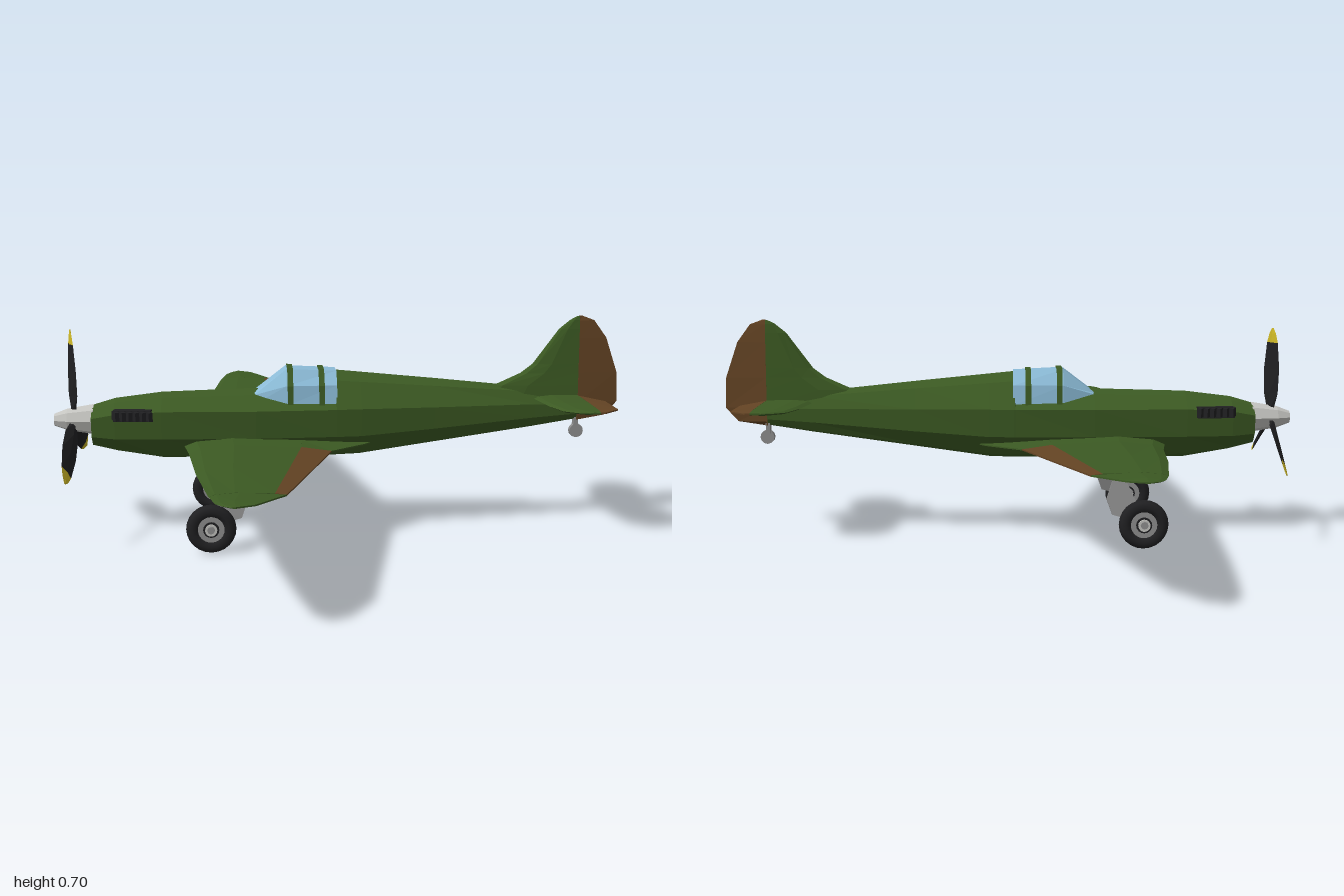
import * as THREE from 'three';

const paint = (name, color) => {
  const m = new THREE.MeshStandardMaterial({ color });
  m.name = name;
  return m;
};

// Closed faceted solid through a list of equal-length rings of [x, y, z].
function loft(rings) {
  const tris = [];
  const n = rings[0].length;
  for (let i = 0; i < rings.length - 1; i++) {
    for (let j = 0; j < n; j++) {
      const k = (j + 1) % n, a = rings[i], b = rings[i + 1];
      tris.push([a[j], a[k], b[k]], [a[j], b[k], b[j]]);
    }
  }
  const cap = (ring, flip) => {
    const c = [0, 1, 2].map(d => ring.reduce((s, p) => s + p[d], 0) / n);
    for (let j = 0; j < n; j++) {
      const p = ring[j], q = ring[(j + 1) % n];
      tris.push(flip ? [c, q, p] : [c, p, q]);
    }
  };
  cap(rings[0], true);
  cap(rings[rings.length - 1], false);
  // Turn the faces outward whichever way the rings run
  const volume = tris.reduce((s, [a, b, c]) => s
    + a[0] * (b[1] * c[2] - b[2] * c[1])
    + a[1] * (b[2] * c[0] - b[0] * c[2])
    + a[2] * (b[0] * c[1] - b[1] * c[0]), 0);
  if (volume < 0) tris.forEach(t => t.reverse());
  const g = new THREE.BufferGeometry();
  g.setAttribute('position', new THREE.Float32BufferAttribute(tris.flat(2), 3));
  g.computeVertexNormals();
  return g;
}

// Aerofoil section from lead to hinge; h is half thickness, e the half thickness at the hinge.
const foil = (lead, hinge, h, e, put) => {
  const c = hinge - lead;
  return [[0, 0], [0.1, 0.6 * h], [0.4, h], [1, e], [1, -e], [0.4, -h], [0.1, -0.6 * h]]
    .map(([f, o]) => put(lead + f * c, o));
};
// Control surface section, a wedge from hinge to trailing edge.
const wedge = (hinge, trail, e, put) => [put(hinge, e), put(trail, 0.002), put(trail, -0.002), put(hinge, -e)];

export function createModel() {
  const model = new THREE.Group();
  const green = paint('olive green', 0x3c5a23);
  const brown = paint('brown', 0x644424);
  const glass = paint('canopy blue', 0x8cbcd8);
  const black = paint('black', 0x202022);
  const yellow = paint('yellow', 0xd2bc28);
  const silver = paint('silver', 0xc4c4c0);
  const grey = paint('grey', 0x8f8f8f);

  const add = (name, geometry, material, parent = model) => {
    const m = new THREE.Mesh(geometry, material);
    m.name = name;
    parent.add(m);
    return m;
  };

  // Fuselage: x, top, bottom, half width, upper side y, lower side y
  const body = [
    [-0.805, 0.43, 0.297, 0.058, 0.395, 0.335], [-0.73, 0.452, 0.278, 0.075, 0.41, 0.33],
    [-0.58, 0.47, 0.252, 0.09, 0.42, 0.33], [-0.28, 0.478, 0.25, 0.106, 0.42, 0.33],
    [-0.025, 0.475, 0.25, 0.1, 0.42, 0.33], [-0.02, 0.535, 0.25, 0.1, 0.42, 0.33],
    [0.06, 0.527, 0.253, 0.094, 0.42, 0.33], [0.3, 0.503, 0.287, 0.068, 0.417, 0.345],
    [0.64, 0.467, 0.335, 0.034, 0.415, 0.37], [0.787, 0.45, 0.358, 0.02, 0.41, 0.378],
  ];
  add('fuselage', loft(body.map(([x, t, b, w, m, l]) => {
    const half = [[0.45 * w, t - 0.25 * (t - m)], [w, m], [0.93 * w, l], [0.5 * w, b + 0.2 * (l - b)]];
    return [[x, t, 0], ...half.map(([z, y]) => [x, y, z]), [x, b, 0],
      ...half.slice().reverse().map(([z, y]) => [x, y, -z])];
  })), green);

  // Canopy: x, base half width, shoulder half width, shoulder y, top half width, top y
  const hood = [
    [-0.285, 0.05, 0.045, 0.462, 0.032, 0.466],
    [-0.18, 0.079, 0.074, 0.495, 0.04, 0.545],
    [-0.018, 0.08, 0.072, 0.495, 0.036, 0.537],
  ];
  const hoodRing = ([x, b, s, sy, t, ty], grow = 0) => {
    const half = [[b + grow, 0.432], [s + grow, sy], [t + grow, ty + grow]];
    return [...half.map(([z, y]) => [x, y, z]), ...half.reverse().map(([z, y]) => [x, y, -z])];
  };
  add('canopy', loft(hood.map(h => hoodRing(h))), glass);
  for (const x0 of [-0.177, -0.076]) {
    const at = x => hood[1].map((v, i) => v + (hood[2][i] - v) * (x - hood[1][0]) / (hood[2][0] - hood[1][0]));
    add('canopyFrame', loft([x0, x0 + 0.018].map(x => hoodRing(at(x), 0.004))), green);
  }

  // Fin and rudder, stacked by height
  const upright = y => (x, o) => [x, y, o];
  add('fin', loft([
    [0.42, 0.46, 0.022], [0.475, 0.505, 0.02], [0.515, 0.595, 0.018], [0.545, 0.635, 0.017],
    [0.66, 0.72, 0.012], [0.69, 0.757, 0.009], [0.702, 0.782, 0.005],
  ].map(([y, lead, h]) => foil(lead, 0.787, h, h * 0.9, upright(y)))), green);
  add('rudder', loft([
    [0.357, 0.80, 0.016], [0.37, 0.885, 0.018], [0.415, 0.925, 0.02], [0.515, 0.92, 0.017],
    [0.63, 0.88, 0.012], [0.688, 0.837, 0.008], [0.703, 0.797, 0.005],
  ].map(([y, trail, e]) => wedge(0.787, trail, e, upright(y)))), brown);

  for (const s of [1, -1]) {
    const side = s > 0 ? 'left' : 'right';
    // Wing with dihedral: z, lead, hinge, trail, half thickness
    const wingY = z => 0.303 + Math.max(0, z - 0.15) * 0.073;
    const out = z => (x, o) => [x, wingY(z) + o, z * s];
    add(side + 'Wing', loft([
      [0.04, -0.515, -0.13, 0.03], [0.19, -0.49, -0.14, 0.027], [0.54, -0.455, -0.192, 0.018], [0.86, -0.41, -0.24, 0.01],
    ].map(([z, l, h, t]) => foil(l, h, t, t * 0.6, out(z)))), green);
    add(side + 'WingTip', loft([
      [0.86, -0.41, -0.21, 0.01], [0.95, -0.39, -0.272, 0.007], [0.975, -0.375, -0.29, 0.005], [1, -0.35, -0.338, 0.002],
    ].map(([z, l, h, t]) => foil(l, h, t, 0.002, out(z)))), green);
    add(side + 'WingFillet', loft([
      [0.04, -0.13, 0.11, 0.018], [0.09, -0.133, 0.07, 0.018], [0.19, -0.14, -0.045, 0.0162],
    ].map(([z, h, t, e]) => wedge(h, t, e, out(z)))), green);
    add(side + 'Aileron', loft([
      [0.19, -0.14, -0.045, 0.0162], [0.54, -0.192, -0.131, 0.0108], [0.86, -0.24, -0.21, 0.006],
    ].map(([z, h, t, e]) => wedge(h, t, e, out(z)))), brown);

    // Tailplane and elevator
    const tail = z => (x, o) => [x, 0.432 + o, z * s];
    add(side + 'Tailplane', loft([
      [0, 0.635, 0.011], [0.155, 0.655, 0.01], [0.24, 0.68, 0.008], [0.27, 0.72, 0.006], [0.28, 0.75, 0.003],
    ].map(([z, l, t]) => foil(l, 0.787, t, t * 0.8, tail(z)))), green);
    add(side + 'Elevator', loft([
      [0.03, 0.795, 0.009], [0.095, 0.857, 0.009], [0.23, 0.857, 0.007], [0.278, 0.803, 0.003],
    ].map(([z, t, e]) => wedge(0.787, t, e, tail(z)))), brown);

    // Exhaust stubs
    const manifold = add(side + 'ExhaustManifold', new THREE.BoxGeometry(0.12, 0.035, 0.03), black);
    manifold.position.set(-0.67, 0.41, s * 0.085);
    manifold.rotation.y = -s * 0.1;
    for (let i = 0; i < 6; i++) {
      const stub = add('exhaustStub', new THREE.BoxGeometry(0.013, 0.028, 0.04), black);
      stub.position.set(-0.722 + i * 0.021, 0.412, s * (0.1 + i * 0.0025));
      stub.rotation.y = s * 0.4;
    }

    // Landing gear leg, splayed outward
    const leg = new THREE.Shape([
      [-0.35, 0.3], [-0.305, 0.3], [-0.335, 0.22], [-0.312, 0.15], [-0.33, 0.1], [-0.385, 0.085], [-0.415, 0.12], [-0.375, 0.205],
    ].map(p => new THREE.Vector2(...p)));
    const legGeo = new THREE.ExtrudeGeometry(leg, { depth: 0.016, bevelEnabled: false });
    legGeo.translate(0, -0.1, -0.008);
    const strut = add(side + 'GearLeg', legGeo, grey);
    strut.position.set(0, 0.1, s * 0.203);
    strut.rotation.x = -s * 0.18;
    const axle = add(side + 'Axle', new THREE.CylinderGeometry(0.012, 0.012, 0.075, 8).rotateX(Math.PI / 2), grey);
    axle.position.set(-0.425, 0.08, s * 0.232);
    const fork = add(side + 'GearFork', new THREE.BoxGeometry(0.065, 0.026, 0.016), grey);
    fork.position.set(-0.407, 0.09, s * 0.207);
    fork.rotation.z = 0.4;

    // Wheel
    const wheel = new THREE.Group();
    wheel.name = side + 'Wheel';
    wheel.position.set(-0.425, 0.078, s * 0.24);
    model.add(wheel);
    add('tyre', new THREE.TorusGeometry(0.057, 0.021, 8, 24), black, wheel);
    for (const [name, r, w, m] of [['hub', 0.045, 0.026, grey], ['hubRing', 0.025, 0.034, black], ['hubCap', 0.019, 0.046, silver]]) {
      add(name, new THREE.CylinderGeometry(r, r, w, 16).rotateX(Math.PI / 2), m, wheel);
    }
  }

  // Tail wheel
  add('tailWheel', new THREE.CylinderGeometry(0.023, 0.023, 0.018, 12).rotateX(Math.PI / 2), grey).position.set(0.79, 0.318, 0);
  add('tailWheelStrut', new THREE.BoxGeometry(0.014, 0.045, 0.024), grey).position.set(0.787, 0.345, 0);

  // Spinner
  const propY = 0.383;
  for (const [front, back, x0, x1] of [[0.02, 0.036, -0.927, -0.885], [0.036, 0.05, -0.885, -0.8]]) {
    const g = new THREE.CylinderGeometry(front, back, x1 - x0, 8).rotateZ(Math.PI / 2).toNonIndexed();
    g.computeVertexNormals();
    add('spinner', g, silver).position.set((x0 + x1) / 2, propY, 0);
  }

  // Three twisted propeller blades with coloured tips: radius, half width, half thickness, pitch
  const section = ([r, w, t, a]) => {
    const c = Math.cos(a), n = Math.sin(a);
    return [[w, 0], [0, t], [-w, 0], [0, -t]].map(([u, v]) => [u * n + v * c, r, u * c - v * n]);
  };
  const blade = [
    [0.02, 0.012, 0.01, 0.7], [0.08, 0.03, 0.008, 0.6], [0.16, 0.037, 0.006, 0.48], [0.245, 0.029, 0.004, 0.4],
    [0.275, 0.018, 0.003, 0.37], [0.292, 0.005, 0.002, 0.35],
  ].map(section);
  for (let i = 0; i < 3; i++) {
    const prop = new THREE.Group();
    prop.name = 'propellerBlade';
    prop.position.set(-0.865, propY, 0);
    prop.rotation.x = i * Math.PI * 2 / 3;
    model.add(prop);
    add('blade', loft(blade.slice(0, 4)), black, prop);
    add('bladeTip', loft(blade.slice(3)), yellow, prop);
  }
  return model;
}
